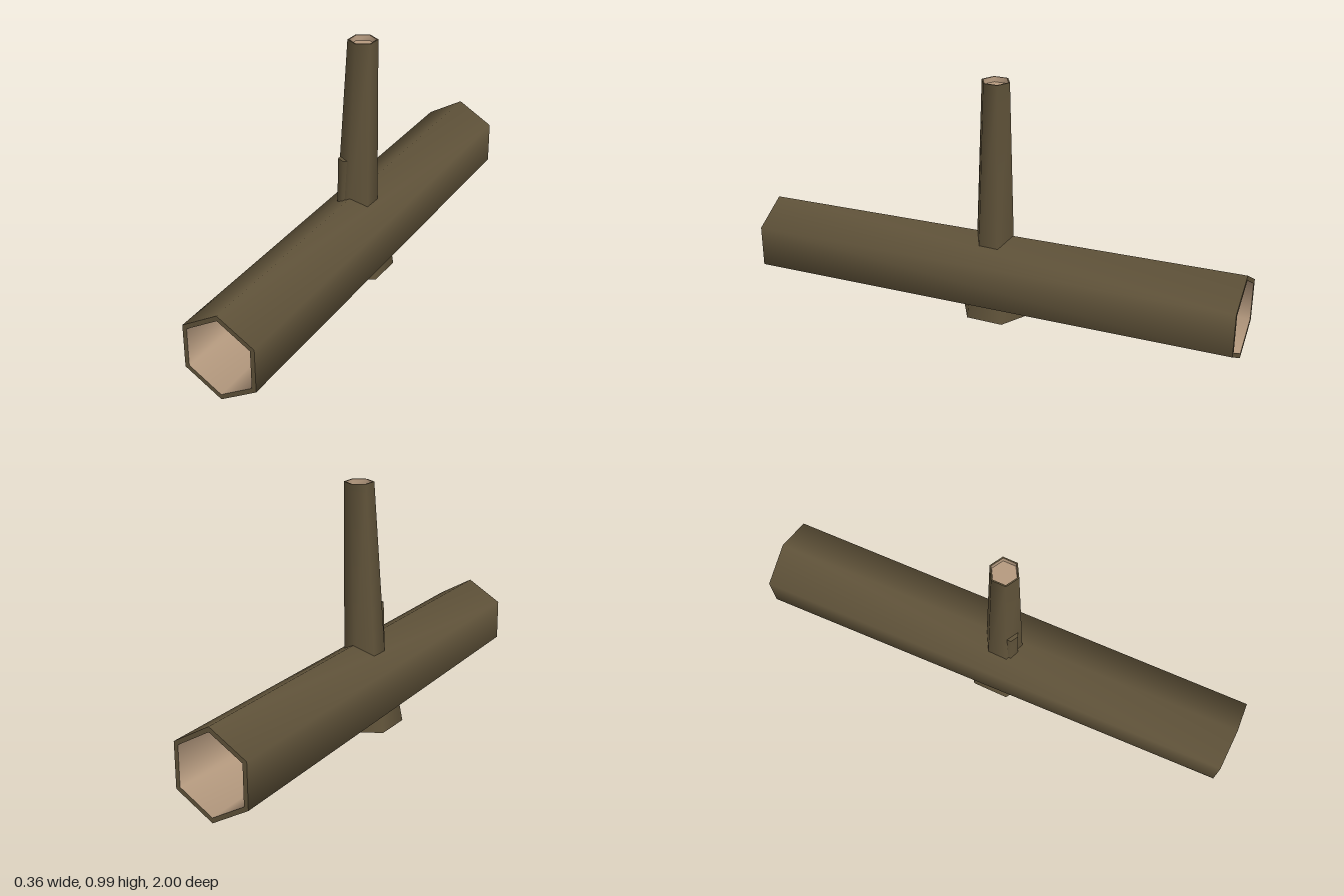
import * as THREE from 'three';

const SIDES = 6;

// Smooth six-sided skin through sections [cx, y, cz, radius]; rising order faces outward, falling order inward
function skin(sections) {
  const pos = [], index = [];
  sections.forEach(([cx, y, cz, r]) => {
    for (let i = 0; i < SIDES; i++) {
      const a = (i / SIDES) * Math.PI * 2;
      pos.push(cx + r * Math.sin(a), y, cz + r * Math.cos(a));
    }
  });
  for (let s = 0; s < sections.length - 1; s++) {
    for (let i = 0; i < SIDES; i++) {
      const j = (i + 1) % SIDES;
      const a = s * SIDES + i, b = s * SIDES + j;
      const c = a + SIDES, d = b + SIDES;
      index.push(a, b, d, a, d, c);
    }
  }
  const geo = new THREE.BufferGeometry();
  geo.setAttribute('position', new THREE.Float32BufferAttribute(pos, 3));
  geo.setIndex(index);
  geo.computeVertexNormals();
  return geo;
}

export function createModel() {
  const model = new THREE.Group();
  const bark = new THREE.MeshStandardMaterial({ name: 'bark', color: 0x5f5239 });
  const wood = new THREE.MeshStandardMaterial({ name: 'paleWood', color: 0xb59a7f });

  const add = (parent, name, sections, material) => {
    const mesh = new THREE.Mesh(skin(sections), material);
    mesh.name = name;
    parent.add(mesh);
  };

  // Hollow log: modelled upright, then laid down so its upper end faces +z
  const log = new THREE.Group();
  log.name = 'hollowLog';
  const back = [-0.026, -1, -0.178], front = [0.03, 1, -0.17];
  const backOuter = [...back, 0.176], frontOuter = [...front, 0.17];
  const backInner = [...back, 0.156], frontInner = [...front, 0.15];
  add(log, 'logBark', [backOuter, frontOuter], bark);
  add(log, 'logFrontRim', [frontOuter, frontInner], bark);
  add(log, 'logBackRim', [backInner, backOuter], bark);
  add(log, 'logInside', [frontInner, backInner], wood);
  log.rotation.x = Math.PI / 2;
  model.add(log);

  // Tall branch with a shallow pale hollow at its tip
  const branch = new THREE.Group();
  branch.name = 'tallBranch';
  const tip = [0.015, 0.985, -0.005];
  add(branch, 'branchBark', [[-0.006, 0.22, 0.006, 0.083], [...tip, 0.058]], bark);
  add(branch, 'branchRim', [[...tip, 0.058], [...tip, 0.052]], bark);
  add(branch, 'branchHollow', [[...tip, 0.052], [0.015, 0.965, -0.005, 0.05]], wood);
  add(branch, 'branchHeart', [[0.015, 0.965, -0.005, 0.05], [0.015, 0.965, -0.005, 0]], wood);
  model.add(branch);

  // Short side shoot hugging the branch
  const shoot = new THREE.Group();
  shoot.name = 'sideShoot';
  const shootTop = [-0.029, 0.5, 0.04];
  add(shoot, 'shootBark', [[-0.033, 0.25, 0.042, 0.037], [...shootTop, 0.035]], bark);
  add(shoot, 'shootTop', [[...shootTop, 0.035], [...shootTop, 0]], bark);
  model.add(shoot);

  // Tapered stump passing through the underside of the log
  const stump = new THREE.Group();
  stump.name = 'stump';
  const foot = [-0.01, 0.008, 0], head = [-0.004, 0.25, 0];
  add(stump, 'stumpBark', [[...foot, 0.15], [...head, 0.112]], bark);
  add(stump, 'stumpTop', [[...head, 0.112], [...head, 0]], bark);
  add(stump, 'stumpBase', [[...foot, 0], [...foot, 0.15]], bark);
  model.add(stump);

  return model;
}
